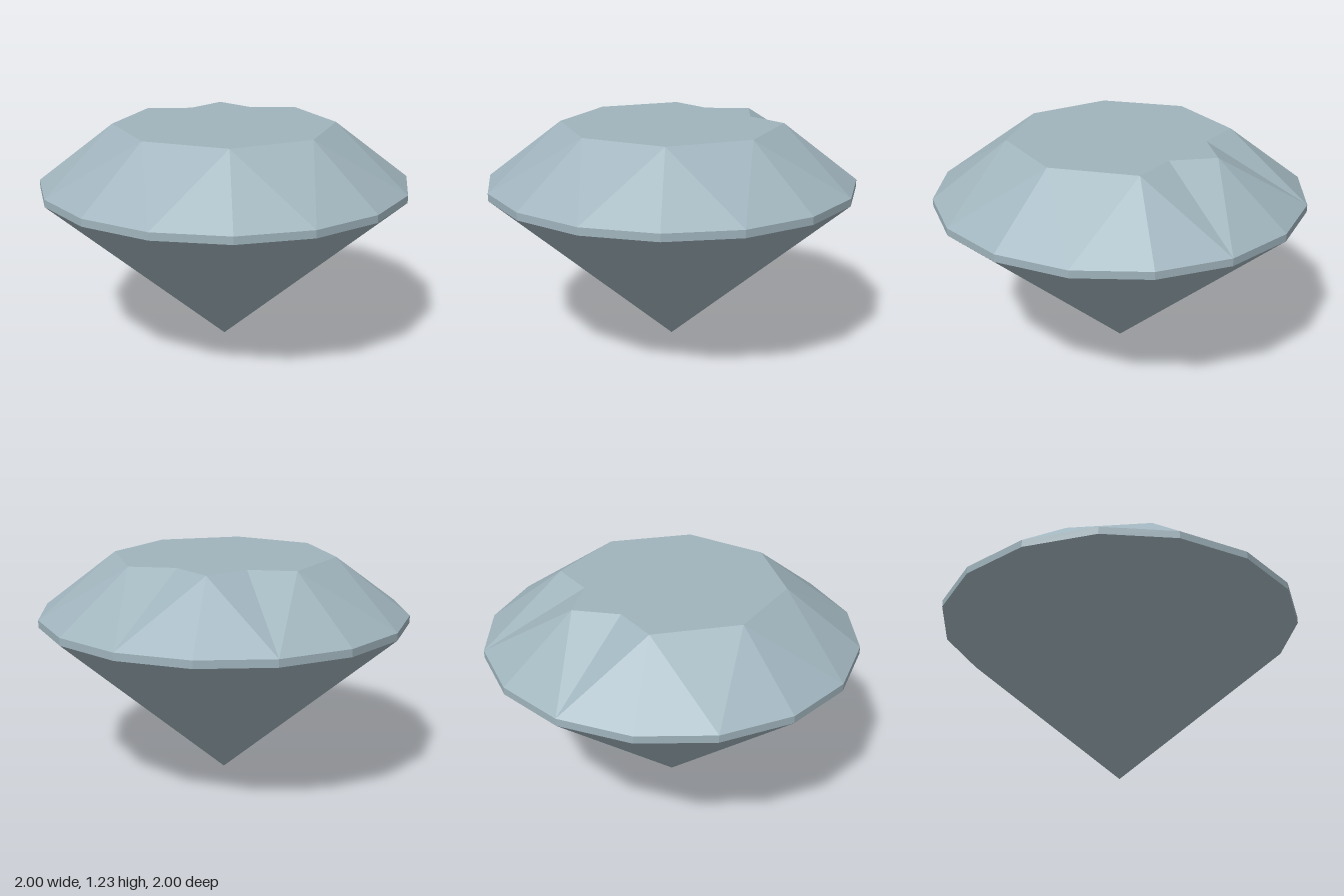
import * as THREE from 'three';

const GIRDLE_LOW = 0.88, GIRDLE_TOP = 0.92, TABLE_Y = 1.225;
const TABLE_R = 0.6, NOTCH_CORNER = 5;

// Point on a ring, angle measured from the front towards +x
const ring = (r, y, turn) =>
  new THREE.Vector3(r * Math.sin(turn * 2 * Math.PI), y, r * Math.cos(turn * 2 * Math.PI));

// Flat-shaded geometry from a list of triangle corners
function facets(points) {
  const geometry = new THREE.BufferGeometry().setFromPoints(points);
  geometry.computeVertexNormals();
  return geometry;
}

export function createModel() {
  const group = new THREE.Group();
  const gem = new THREE.MeshStandardMaterial({ color: 0xa0b4bd, flatShading: true });
  gem.name = 'pale blue grey';
  const add = (name, geometry) => {
    const mesh = new THREE.Mesh(geometry, gem);
    mesh.name = name;
    group.add(mesh);
    return mesh;
  };

  // Pavilion: sixteen facets meeting at the point
  const pavilion = [];
  for (let i = 0; i < 16; i++) {
    pavilion.push(new THREE.Vector3(), ring(1, GIRDLE_LOW, (i + 1) / 16), ring(1, GIRDLE_LOW, i / 16));
  }
  add('pavilion', facets(pavilion));

  // Girdle: thin upright band
  add('girdle', new THREE.CylinderGeometry(1, 1, GIRDLE_TOP - GIRDLE_LOW, 16, 1, true))
    .position.y = (GIRDLE_TOP + GIRDLE_LOW) / 2;

  // Crown: two facets below each table corner, one below each table edge
  const crown = [], outline = [];
  const s = TABLE_R * Math.SQRT1_2, n = TABLE_R - s;
  for (let k = 0; k < 8; k++) {
    const corner = ring(TABLE_R, TABLE_Y, k / 8);
    const next = ring(TABLE_R, TABLE_Y, (k + 1) / 8);
    const before = ring(1, GIRDLE_TOP, (2 * k - 1) / 16);
    const under = ring(1, GIRDLE_TOP, (2 * k) / 16);
    const after = ring(1, GIRDLE_TOP, (2 * k + 1) / 16);
    crown.push(corner, before, under, corner, under, after);
    outline.push(corner);

    // The two edges beside one back corner are cut inwards
    const cut = [];
    if (k === NOTCH_CORNER - 1) cut.push(new THREE.Vector3(-n, TABLE_Y, -s));
    if (k === NOTCH_CORNER) cut.push(new THREE.Vector3(-s, TABLE_Y, -n));
    const edge = [corner, ...cut, next];
    for (let j = 0; j + 1 < edge.length; j++) crown.push(edge[j], after, edge[j + 1]);
    outline.push(...cut);
  }
  add('crown', facets(crown));

  // Table: flat top
  const table = [];
  outline.forEach((p, i) => {
    table.push(new THREE.Vector3(0, TABLE_Y, 0), p, outline[(i + 1) % outline.length]);
  });
  add('table', facets(table));

  return group;
}
